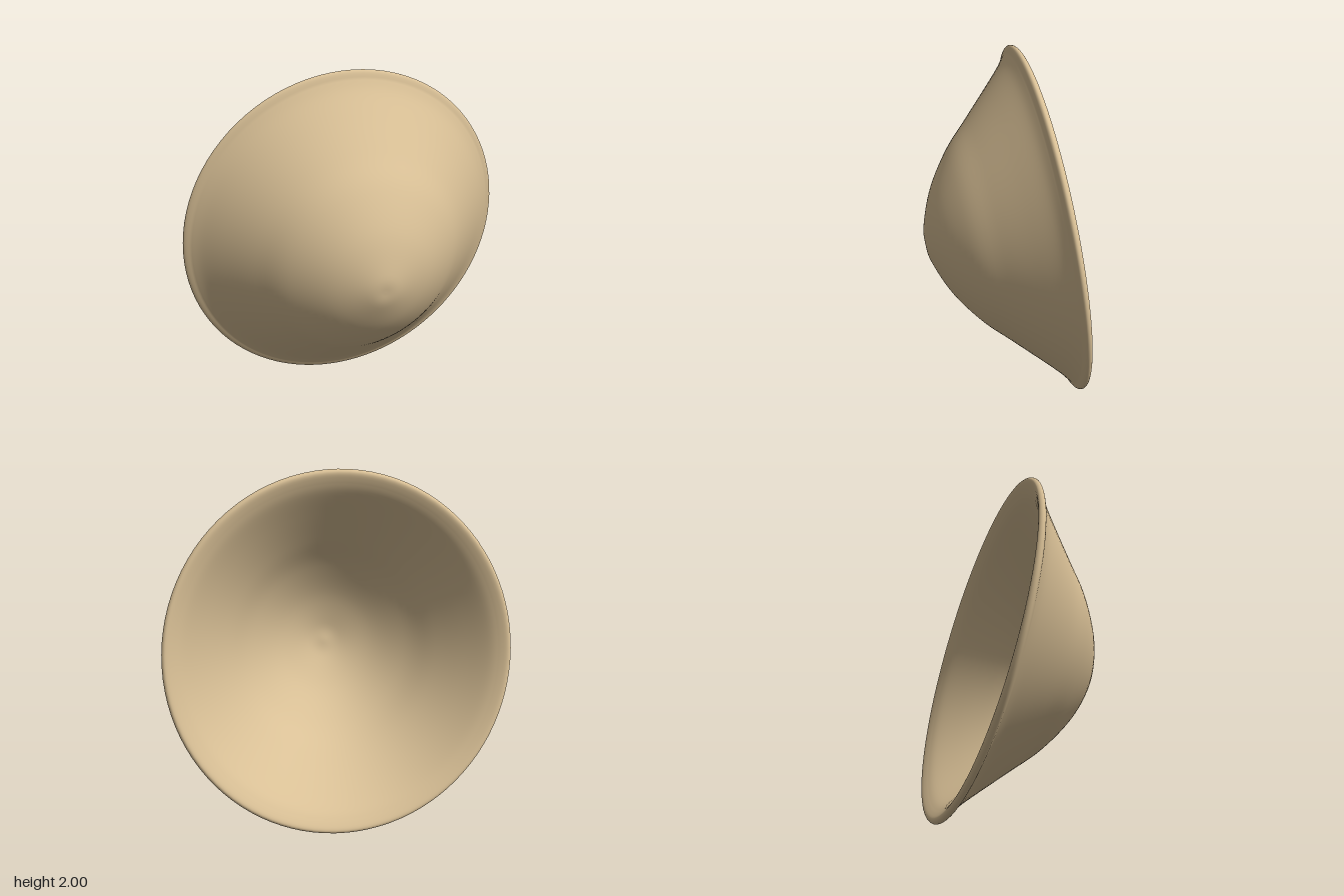
import * as THREE from 'three';

const TILT = THREE.MathUtils.degToRad(98.6); // lays the bowl over, opening to the back

const smooth = (pairs, count) =>
  new THREE.SplineCurve(pairs.map(([r, h]) => new THREE.Vector2(r, h))).getPoints(count);

export function createModel() {
  const group = new THREE.Group();
  group.name = 'tiltedBowl';

  // Inside wall, from the centre out to the rim (radius, height)
  const inside = smooth([
    [0, 0.66], [0.1, 0.652], [0.29, 0.575], [0.48, 0.44], [0.63, 0.297],
    [0.78, 0.155], [0.89, 0.055], [0.945, 0.018],
  ], 40);

  // Rounded lip
  const lip = smooth([
    [0.945, 0.018], [0.975, 0.003], [0.995, 0], [1.008, 0.01], [1.01, 0.024], [0.998, 0.036], [0.97, 0.048],
  ], 18);

  // Flared outside wall, from the rim up to the dome
  const outside = smooth([
    [0.97, 0.048], [0.91, 0.092], [0.81, 0.185], [0.655, 0.335], [0.505, 0.478],
    [0.305, 0.612], [0.1, 0.692], [0, 0.702],
  ], 40);

  const profile = [...inside, ...lip.slice(1), ...outside.slice(1)];
  profile[0].x = profile[profile.length - 1].x = 0;

  const bowl = new THREE.Mesh(
    new THREE.LatheGeometry(profile, 96),
    new THREE.MeshStandardMaterial({ color: 0xd9c096 }),
  );
  bowl.name = 'bowl';
  bowl.scale.x = 0.96; // slightly oval rim
  bowl.rotation.x = TILT;
  bowl.position.set(0, 1.003, -0.27);
  group.add(bowl);

  return group;
}
